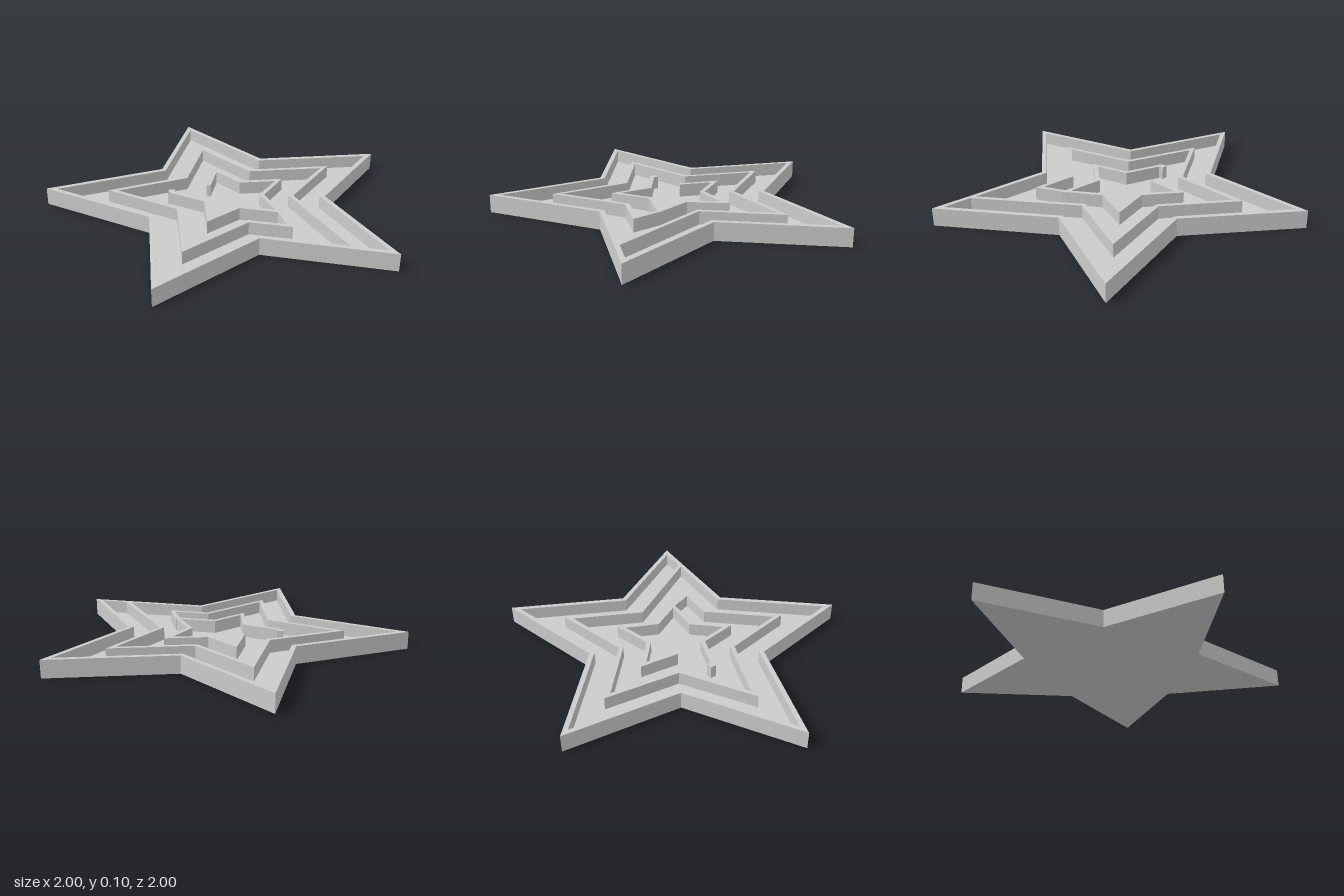
import * as THREE from 'three';

const HEIGHT = 0.104, FLOOR = 0.028, WALL = 0.025, RIM = 0.028;

// Plan points are [x, z]; returns the path moved sideways by d with mitred corners
function offsetPath(pts, d, closed) {
  const n = pts.length;
  const normal = (a, b) => new THREE.Vector2(a[1] - b[1], b[0] - a[0]).normalize();
  return pts.map((p, i) => {
    const prev = closed || i > 0 ? pts[(i + n - 1) % n] : null;
    const next = closed || i < n - 1 ? pts[(i + 1) % n] : null;
    const n1 = prev ? normal(prev, p) : normal(p, next);
    const n2 = next ? normal(p, next) : n1;
    const k = d / (1 + n1.dot(n2));
    return [p[0] + (n1.x + n2.x) * k, p[1] + (n1.y + n2.y) * k];
  });
}

const toVectors = (pts) => pts.map(([x, z]) => new THREE.Vector2(x, -z));

export function createModel() {
  const group = new THREE.Group();
  const material = new THREE.MeshStandardMaterial({ color: 0xcccccc, flatShading: true });

  // Stands a plan outline up between two heights; a hole runs opposite to its outline
  function slab(name, outline, y0, y1, hole) {
    const shape = new THREE.Shape(toVectors(outline));
    if (hole) shape.holes.push(new THREE.Path(toVectors(hole).reverse()));
    const geometry = new THREE.ExtrudeGeometry(shape, { depth: y1 - y0, bevelEnabled: false });
    geometry.rotateX(-Math.PI / 2).translate(0, y0, 0);
    const mesh = new THREE.Mesh(geometry, material);
    mesh.name = name;
    group.add(mesh);
  }

  function wall(name, path) {
    const left = offsetPath(path, WALL / 2, false);
    const right = offsetPath(path, -WALL / 2, false).reverse();
    slab(name, [...left, ...right], FLOOR, HEIGHT);
  }

  // Star tray: solid floor with a rim around it
  const half = [[-0.342, -0.307], [-0.238, -1], [0.275, -0.499], [1, -0.617]];
  const star = [[-1, 0], ...half, [0.655, 0], ...half.map(([x, z]) => [x, -z]).reverse()];
  slab('floor', star, 0, FLOOR);
  slab('rim', star, FLOOR, HEIGHT, offsetPath(star, RIM, true));

  // Middle star wall, from the rim round to the inner star
  wall('middleMazeWall', [
    [0.771, 0.56], [0.455, 0], [0.675, -0.395], [0.211, -0.32], [-0.115, -0.634],
    [-0.184, -0.198], [-0.597, 0], [-0.184, 0.198], [-0.115, 0.634], [0.211, 0.32],
    [0.438, 0.355], [0.385, 0.19],
  ]);

  // Inner star wall, open on its left side
  wall('innerMazeWall', [
    [-0.037, -0.097], [-0.006, -0.314], [0.155, -0.16], [0.385, -0.197], [0.285, 0],
    [0.385, 0.197], [0.155, 0.16], [-0.006, 0.314], [-0.037, 0.097], [-0.257, -0.004],
  ]);

  // Small square post at the end of the inner wall
  const post = new THREE.Mesh(new THREE.BoxGeometry(0.038, HEIGHT - FLOOR, 0.036), material);
  post.name = 'endPost';
  post.position.set(-0.25, (HEIGHT + FLOOR) / 2, -0.015);
  group.add(post);

  return group;
}
